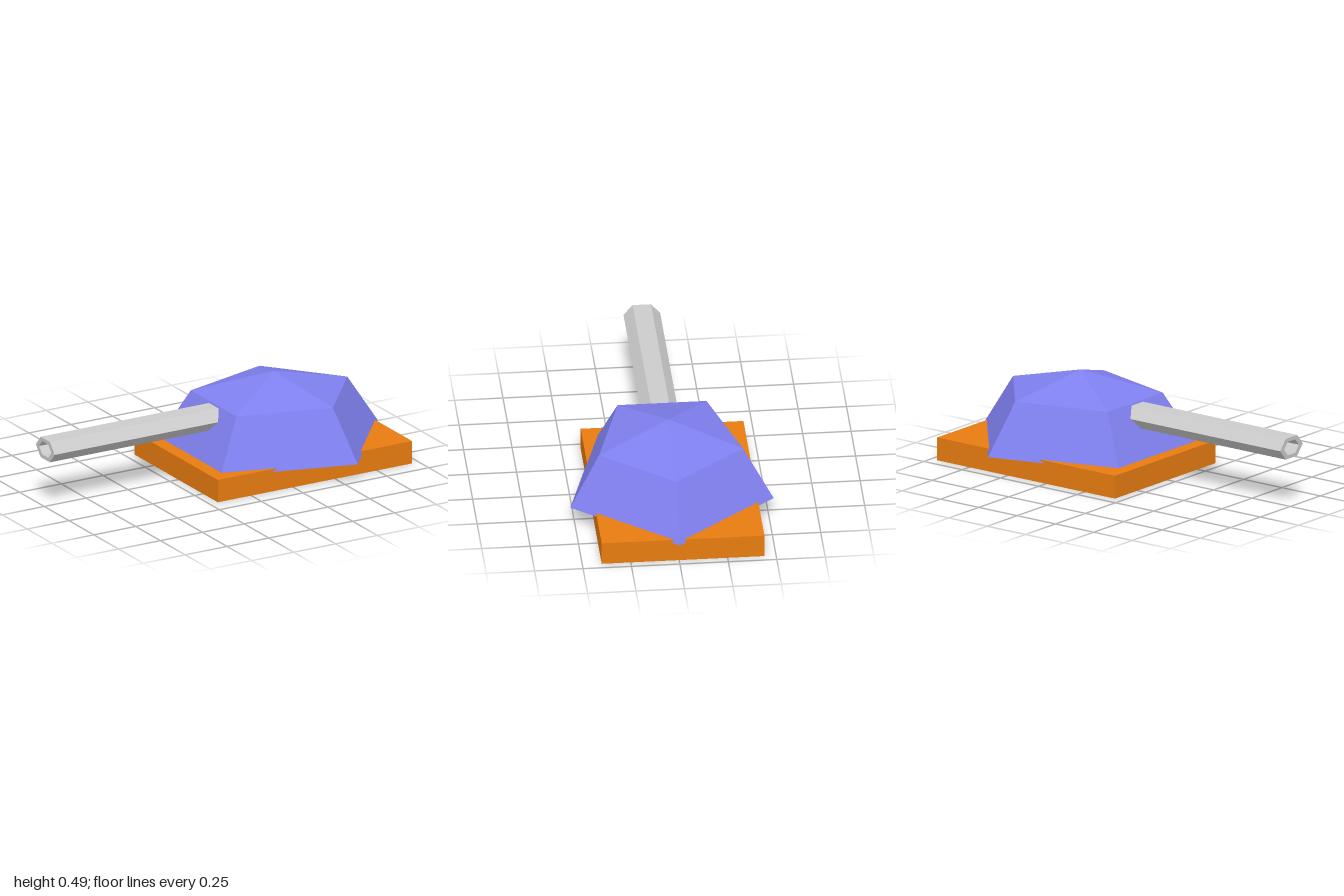
import * as THREE from 'three';

function part(name, geometry, color) {
  const material = new THREE.MeshStandardMaterial({ color, flatShading: true });
  const mesh = new THREE.Mesh(geometry, material);
  mesh.name = name;
  return mesh;
}

// Hexagon outline, wider than tall, with corners at its left and right
function hexagon(path, scale) {
  const points = [];
  for (let i = 0; i < 6; i++) {
    const a = (i * Math.PI) / 3;
    points.push(new THREE.Vector2(0.095 * scale * Math.cos(a), 0.064 * scale * Math.sin(a)));
  }
  return path.setFromPoints(points);
}

export function createModel() {
  const model = new THREE.Group();

  // Flat rectangular slab
  const base = part('base', new THREE.BoxGeometry(1.16, 0.122, 0.84), 0xe87c10);
  base.position.set(0.38, 0.061, -0.02);
  model.add(base);

  // Five-sided dome with one corner pointing to +x, closed underneath
  const dome = new THREE.Group();
  dome.name = 'dome';
  const blue = 0x8080f0;
  const shell = part('domeShell', new THREE.SphereGeometry(1, 5, 2, Math.PI, Math.PI * 2, 0, Math.PI / 2), blue);
  const underside = part('domeUnderside', new THREE.CircleGeometry(1, 5).rotateX(Math.PI / 2), blue);
  dome.add(shell, underside);
  dome.scale.set(0.624, 0.385, 0.552);
  dome.position.set(0.368, 0.106, 0);
  model.add(dome);

  // Hollow hexagonal barrel, running from x = -1 into the dome
  const profile = hexagon(new THREE.Shape(), 1);
  profile.holes.push(hexagon(new THREE.Path(), 0.65));
  const tube = new THREE.ExtrudeGeometry(profile, { depth: 1.1, bevelEnabled: false });
  const barrel = part('barrel', tube.rotateY(Math.PI / 2), 0xcccccc);
  barrel.position.set(-1, 0.314, 0.01);
  model.add(barrel);

  return model;
}
